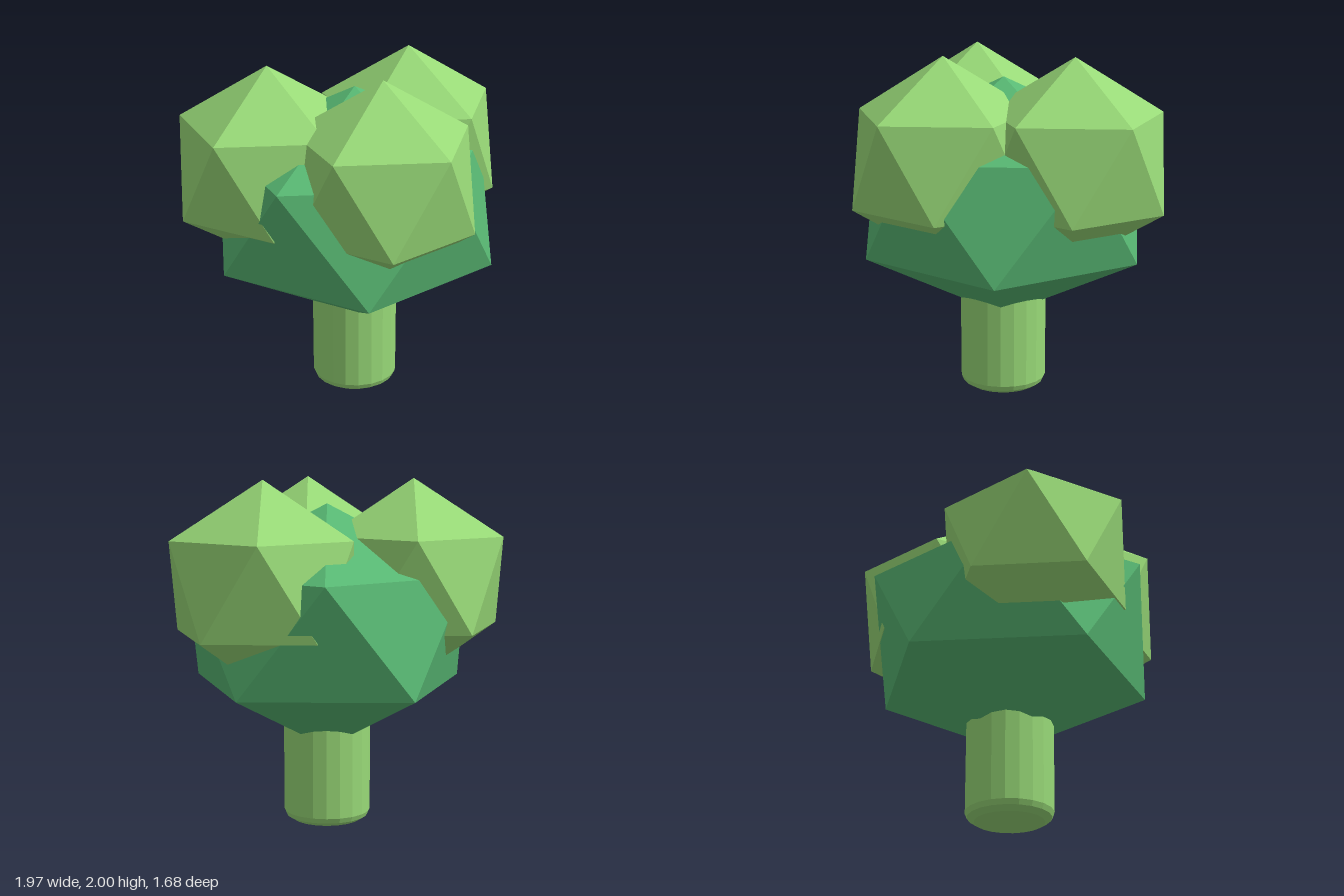
import * as THREE from 'three';
import { ConvexGeometry } from 'three/addons/geometries/ConvexGeometry.js';

const lightGreen = new THREE.MeshStandardMaterial({ color: 0x98d977, flatShading: true });
const darkGreen = new THREE.MeshStandardMaterial({ color: 0x58b873, flatShading: true });

// Icosahedron standing on a corner; upper ring has a corner at +x
function makeFloret(name, radius, height, material, x, y, z) {
  const points = [new THREE.Vector3(0, height, 0), new THREE.Vector3(0, -height, 0)];
  const ring = 2 / Math.sqrt(5), level = 1 / Math.sqrt(5);
  for (let i = 0; i < 10; i++) {
    const a = (i * Math.PI) / 5;
    const side = i % 2 === 0 ? 1 : -1;
    points.push(new THREE.Vector3(
      Math.cos(a) * ring * radius, side * level * height, Math.sin(a) * ring * radius));
  }
  const mesh = new THREE.Mesh(new ConvexGeometry(points), material);
  mesh.name = name;
  mesh.position.set(x, y, z);
  return mesh;
}

export function createModel() {
  const group = new THREE.Group();
  group.name = 'vegetable';

  // Stem with a chamfered foot; its top is buried in the head
  const profile = [[0, 0], [0.2, 0], [0.24, 0.025], [0.253, 0.055], [0.253, 0.75], [0, 0.75]]
    .map(([r, y]) => new THREE.Vector2(r, y));
  const stem = new THREE.Mesh(new THREE.LatheGeometry(profile, 20), lightGreen);
  stem.name = 'stem';
  stem.position.set(0.025, 0, -0.06);
  group.add(stem);

  // Wide, slightly flattened head
  group.add(makeFloret('head', 0.918, 0.716, darkGreen, 0.025, 1.14, -0.06));

  // Three florets set into the top of the head
  const florets = [
    ['rightFloret', -0.46, -0.18],
    ['leftFloret', 0.457, -0.255],
    ['frontFloret', 0.02, 0.34],
  ];
  for (const [name, x, z] of florets) {
    group.add(makeFloret(name, 0.591, 0.591, lightGreen, x, 1.409, z));
  }
  return group;
}
